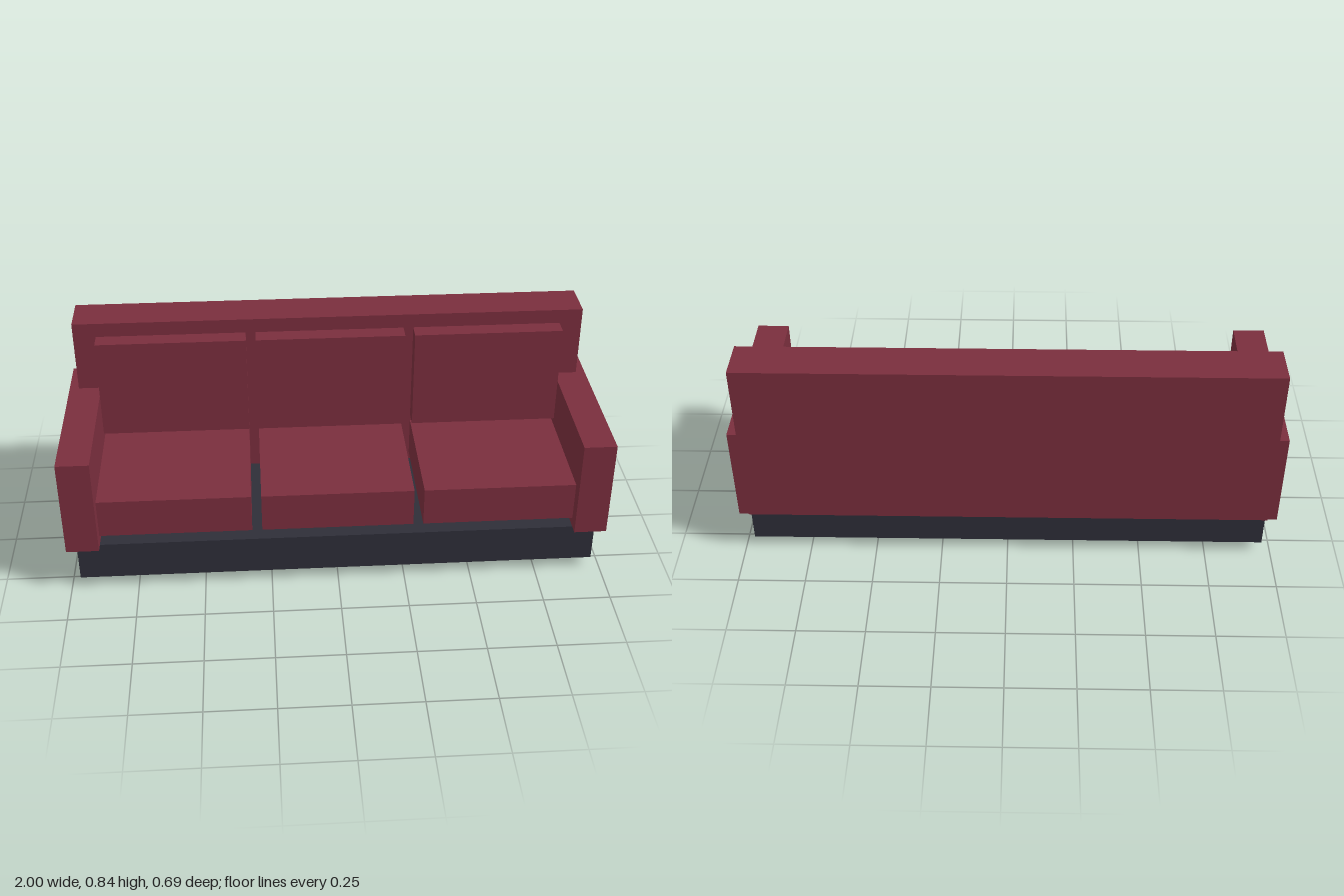
import * as THREE from 'three';

export function createModel() {
  const sofa = new THREE.Group();
  sofa.name = 'sofa';

  const material = (name, color) => {
    const m = new THREE.MeshStandardMaterial({ color });
    m.name = name;
    return m;
  };
  const fabric = material('red fabric', 0x7a2e3d);
  const plinth = material('dark base', 0x2e2e38);
  const metal = material('grey metal', 0x88888f);
  metal.flatShading = true;

  // Box given by its minimum and maximum extents on each axis
  const box = (name, mat, [x0, x1], [y0, y1], [z0, z1]) => {
    const mesh = new THREE.Mesh(new THREE.BoxGeometry(x1 - x0, y1 - y0, z1 - z0), mat);
    mesh.position.set((x0 + x1) / 2, (y0 + y1) / 2, (z0 + z1) / 2);
    mesh.name = name;
    sofa.add(mesh);
  };

  // Base and backrest
  box('base', plinth, [-0.965, 0.965], [0.043, 0.192], [-0.308, 0.311]);
  box('backrest', fabric, [-0.965, 0.965], [0.192, 0.845], [-0.347, -0.188]);

  // Armrests
  box('leftArm', fabric, [0.88, 1], [0.192, 0.569], [-0.343, 0.347]);
  box('rightArm', fabric, [-1, -0.88], [0.192, 0.569], [-0.343, 0.347]);

  // Three seat cushions and three back cushions, with narrow gaps all round
  const half = 0.281;
  for (const [i, side] of ['right', 'middle', 'left'].entries()) {
    const x = (i - 1) * 0.599;
    const span = [x - half, x + half];
    box(side + 'SeatCushion', fabric, span, [0.224, 0.374], [-0.188, 0.299]);
    box(side + 'BackCushion', fabric, span, [0.4, 0.79], [-0.188, -0.123]);
  }

  // Four short legs
  const legGeometry = new THREE.CylinderGeometry(0.03, 0.03, 0.043, 8);
  for (const x of [-0.773, 0.773]) {
    for (const z of [-0.198, 0.202]) {
      const leg = new THREE.Mesh(legGeometry, metal);
      leg.name = (z > 0 ? 'front' : 'back') + (x > 0 ? 'Left' : 'Right') + 'Leg';
      leg.position.set(x, 0.0215, z);
      sofa.add(leg);
    }
  }

  return sofa;
}
